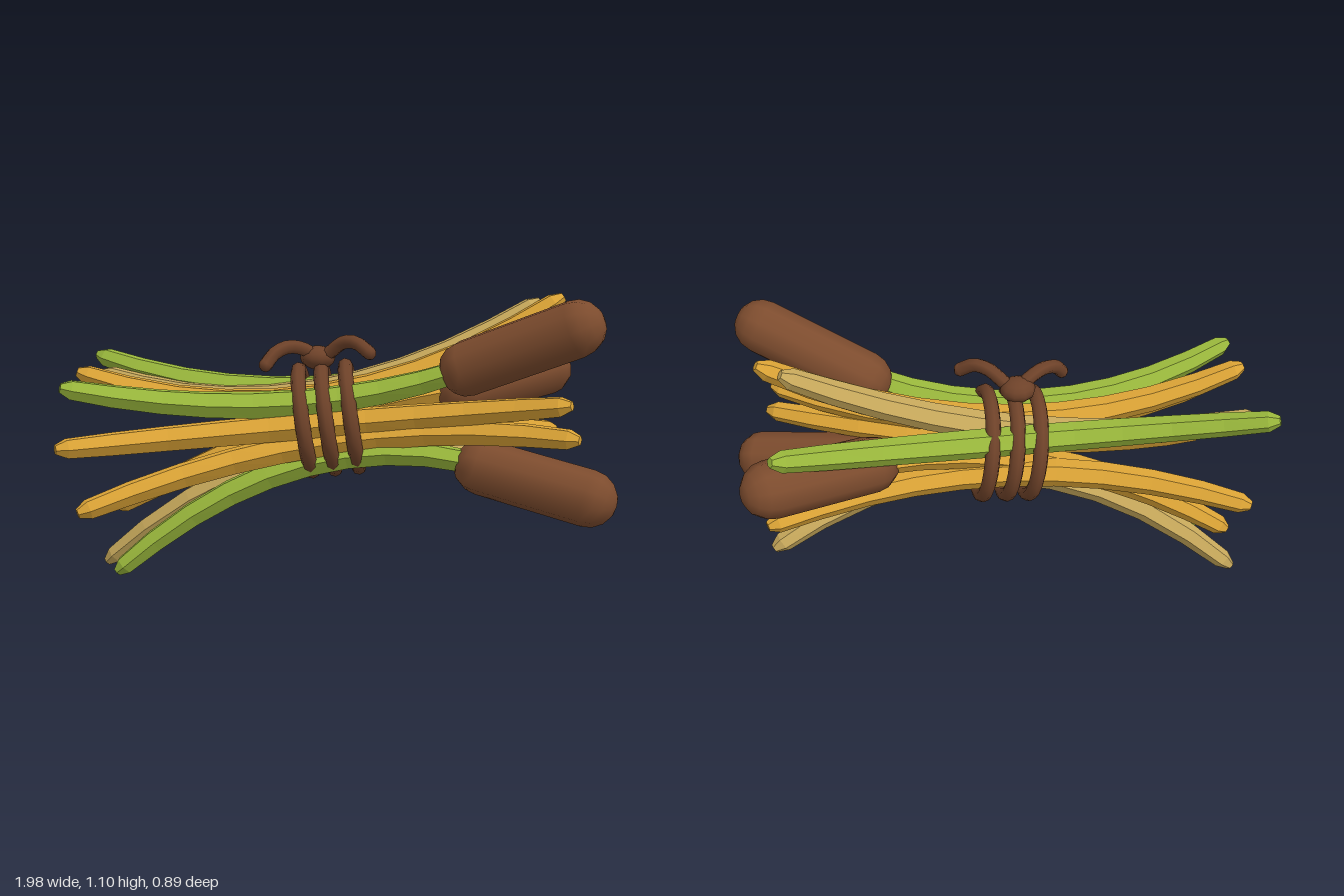
import * as THREE from 'three';

const V = (p) => new THREE.Vector3(...p);

function material(name, color) {
  const m = new THREE.MeshStandardMaterial({ color });
  m.name = name;
  return m;
}

// Faceted six-sided stalk on a parabola from left tip through the middle to the right tip
function stalkGeometry(left, middle, right) {
  const L = V(left), M = V(middle), R = V(right);
  const control = M.clone().multiplyScalar(2).sub(L.clone().add(R).multiplyScalar(0.5));
  const curve = new THREE.QuadraticBezierCurve3(L, control, R);
  const sides = 6, steps = 10;
  const stations = [[0, 0.018], [0.02, 0.038]];
  for (let i = 1; i < steps; i++) {
    const t = i / steps;
    stations.push([t, 0.04 + 0.014 * Math.sin(Math.PI * t)]);
  }
  stations.push([0.98, 0.038], [1, 0.018]);

  const pos = [], index = [];
  const up = new THREE.Vector3(0, 1, 0);
  for (const [t, r] of stations) {
    const c = curve.getPoint(t), tan = curve.getTangent(t);
    const side = new THREE.Vector3().crossVectors(tan, up).normalize();
    const top = new THREE.Vector3().crossVectors(side, tan);
    for (let k = 0; k < sides; k++) {
      const a = (k / sides) * Math.PI * 2;
      const p = c.clone().addScaledVector(side, Math.cos(a) * r).addScaledVector(top, Math.sin(a) * r);
      pos.push(p.x, p.y, p.z);
    }
  }
  const last = (stations.length - 1) * sides;
  for (let s = 0; s < last; s += sides) {
    for (let k = 0; k < sides; k++) {
      const n = (k + 1) % sides;
      const a = s + k, b = s + n, c = a + sides, d = b + sides;
      index.push(a, c, b, b, c, d);
    }
  }
  for (let k = 1; k < sides - 1; k++) {
    index.push(0, k, k + 1, last, last + k + 1, last + k);
  }
  // Turn the faces outward if the winding runs inward
  const A = V(pos.slice(0, 3)), C = V(pos.slice(18, 21)), B = V(pos.slice(3, 6));
  const normal = C.clone().sub(A).cross(B.clone().sub(A));
  if (normal.dot(A.clone().add(B).multiplyScalar(0.5).sub(L)) < 0) {
    for (let i = 0; i < index.length; i += 3) [index[i + 1], index[i + 2]] = [index[i + 2], index[i + 1]];
  }
  let g = new THREE.BufferGeometry();
  g.setAttribute('position', new THREE.Float32BufferAttribute(pos, 3));
  g.setIndex(index);
  g = g.toNonIndexed();
  g.computeVertexNormals();
  return g;
}

export function createModel() {
  const model = new THREE.Group();
  model.name = 'reedBundle';
  const green = material('green leaf', 0x9ab83c);
  const gold = material('golden straw', 0xdca436);
  const tan = material('pale straw', 0xc9aa5c);
  const brown = material('brown seed head', 0x7d4c2e);
  const rope = material('rope brown', 0x6e4229);

  const add = (name, geometry, mat, parent = model) => {
    const mesh = new THREE.Mesh(geometry, mat);
    mesh.name = name;
    parent.add(mesh);
    return mesh;
  };

  // Stalks: left tip, middle inside the binding, right tip
  const stalks = [
    ['greenLeaf', green, [-0.97, 0.86, -0.30], [-0.08, 0.75, -0.13], [0.81, 0.95, -0.39]],
    ['upperReedStem', green, [-0.97, 0.81, 0.31], [-0.15, 0.73, 0.12], [0.60, 0.925, 0.24]],
    ['lowerReedStem', green, [-0.84, 0.07, 0.08], [-0.11, 0.50, 0.09], [0.62, 0.49, 0.20]],
    ['backReedStem', gold, [-0.88, 0.26, -0.18], [-0.14, 0.61, -0.08], [0.60, 0.76, -0.23]],
    ['topStraw', gold, [-0.96, 0.84, 0.09], [-0.06, 0.74, 0.02], [0.84, 1.11, -0.05]],
    ['frontStraw', gold, [-0.98, 0.60, 0.37], [-0.07, 0.65, 0.12], [0.82, 0.76, 0.35]],
    ['frontLowStraw', gold, [-0.92, 0.36, 0.33], [-0.03, 0.585, 0.11], [0.85, 0.64, 0.36]],
    ['backStraw', gold, [-0.90, 0.50, -0.33], [-0.02, 0.60, -0.12], [0.86, 0.57, -0.26]],
    ['topPaleStraw', tan, [-0.93, 0.80, -0.19], [-0.09, 0.745, -0.06], [0.76, 1.09, -0.09]],
    ['lowPaleStraw', tan, [-0.93, 0.04, -0.16], [-0.03, 0.54, -0.03], [0.86, 0.35, -0.13]],
  ];
  for (const [name, mat, l, m, r] of stalks) add(name, stalkGeometry(l, m, r), mat);

  // Seed heads: capsules between two end centres
  const heads = [
    ['upperSeedHead', [0.47, 0.87, 0.18], [0.825, 1.025, 0.34]],
    ['backSeedHead', [0.48, 0.735, -0.17], [0.825, 0.80, -0.34]],
    ['lowerSeedHead', [0.53, 0.505, 0.17], [0.89, 0.43, 0.335]],
  ];
  for (const [name, a, b] of heads) {
    const A = V(a), B = V(b), d = B.clone().sub(A);
    const head = add(name, new THREE.CapsuleGeometry(0.103, d.length(), 4, 10), brown);
    head.position.copy(A).add(B).multiplyScalar(0.5);
    head.quaternion.setFromUnitVectors(new THREE.Vector3(0, 1, 0), d.normalize());
  }

  // Rope binding: three leaning rings
  const binding = new THREE.Group();
  binding.name = 'ropeBinding';
  model.add(binding);
  [-0.12, -0.035, 0.055].forEach((x, i) => {
    const ring = new THREE.TorusGeometry(0.195, 0.028, 8, 24);
    ring.rotateY(Math.PI / 2);
    ring.rotateZ(0.14);
    add('ropeRing', ring, rope, binding).position.set(x, 0.645 + i * 0.008, -0.008);
  });

  // Knot with two drooping ends
  const knot = add('knot', new THREE.SphereGeometry(0.06, 10, 8), rope, binding);
  knot.position.set(-0.075, 0.885, 0);
  knot.scale.set(1.1, 0.75, 1);
  const ends = [
    [[-0.06, 0.87, 0], [-0.12, 0.915, 0.02], [-0.18, 0.93, 0.055], [-0.23, 0.91, 0.09], [-0.26, 0.87, 0.115]],
    [[-0.08, 0.87, 0], [-0.03, 0.905, 0.02], [0.02, 0.945, 0.05], [0.07, 0.95, 0.085], [0.12, 0.915, 0.115]],
  ];
  for (const pts of ends) {
    const path = new THREE.CatmullRomCurve3(pts.map(V));
    add('ropeEnd', new THREE.TubeGeometry(path, 10, 0.026, 7), rope, binding);
    const cap = add('ropeTip', new THREE.SphereGeometry(0.026, 7, 5), rope, binding);
    cap.position.copy(V(pts[4]));
  }
  return model;
}
